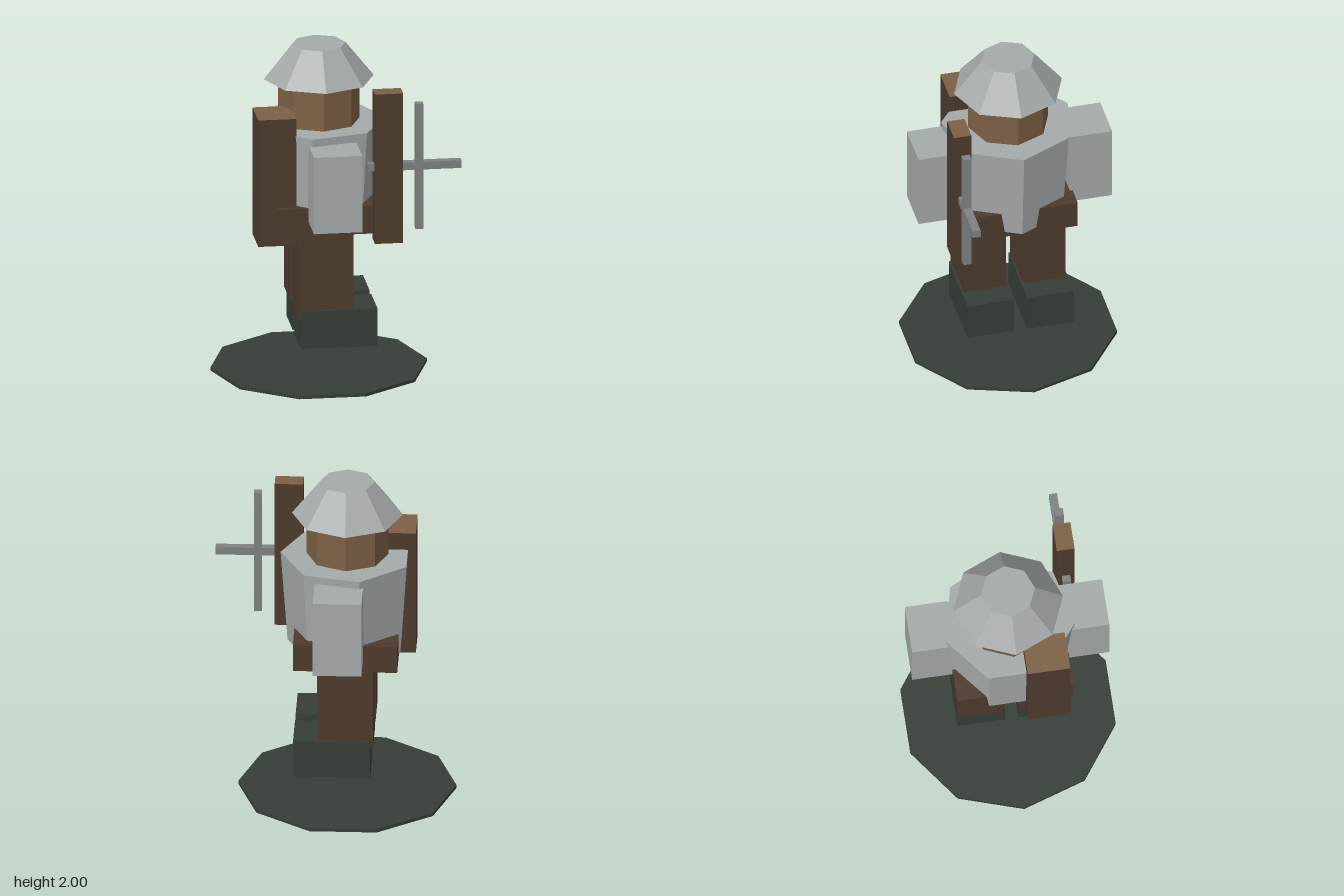
import * as THREE from 'three';

const mat = (name, color) => {
  const m = new THREE.MeshStandardMaterial({ color, flatShading: true });
  m.name = name;
  return m;
};

export function createModel() {
  const steel = mat('steel', 0xa5aaaa);
  const iron = mat('iron', 0x7e8282);
  const skin = mat('skin', 0x7d6045);
  const leather = mat('leather', 0x4e3b2d);
  const moss = mat('moss', 0x363e36);

  const model = new THREE.Group();
  model.name = 'figure';
  const axis = -0.077; // body axis in x

  const add = (name, geometry, material, x, y, z) => {
    const mesh = new THREE.Mesh(geometry, material);
    mesh.name = name;
    mesh.position.set(x, y, z);
    model.add(mesh);
    return mesh;
  };
  // Box given by its limits on each axis
  const box = (name, material, [x0, x1], [y0, y1], [z0, z1]) =>
    add(name, new THREE.BoxGeometry(x1 - x0, y1 - y0, z1 - z0), material,
      (x0 + x1) / 2, (y0 + y1) / 2, (z0 + z1) / 2);
  // Faceted drum with one corner pointing to +x
  const drum = (name, material, rTop, rBottom, y0, y1, sides) =>
    add(name, new THREE.CylinderGeometry(rTop, rBottom, y1 - y0, sides).rotateY(Math.PI / 2),
      material, axis, (y0 + y1) / 2, 0);

  // Base, torso, head and helmet
  drum('base', moss, 0.643, 0.643, 0, 0.02, 10);
  drum('torso', steel, 0.394, 0.353, 0.955, 1.53, 7);
  drum('head', skin, 0.242, 0.242, 1.5, 1.8, 8);
  drum('helmet', steel, 0.16, 0.327, 1.79, 2, 8);

  // Belt
  box('belt', leather, [-0.385, 0.23], [0.92, 1.09], [-0.347, 0.345]);

  // Mirrored pairs on the z axis
  for (const s of [1, -1]) {
    const span = (a, b) => (s > 0 ? [a, b] : [-b, -a]);
    const side = s > 0 ? 'front' : 'back';
    box(side + 'Leg', leather, [-0.24, 0.088], [0.397, 0.92], span(0.053, 0.308));
    box(side + 'Boot', moss, [-0.225, 0.23], [0.215, 0.445], span(0.04, 0.322));
    box(side + 'ShoulderPlate', steel, [-0.185, 0.103], [1.01, 1.482], span(0.33, 0.587));
  }

  // Pack and weapon grip: leather with a tan top face
  const tanTop = [leather, leather, skin, leather, leather, leather];
  box('pack', tanTop, [-0.478, -0.25], [0.855, 1.638], [0.058, 0.311]);
  box('weaponGrip', tanTop, [0.198, 0.366], [0.885, 1.81], [0.332, 0.438]);

  // Crossed iron bars
  box('weaponShaft', iron, [0.16, 0.716], [1.325, 1.372], [0.362, 0.411]);
  box('weaponCrossbar', iron, [0.443, 0.49], [0.958, 1.732], [0.362, 0.411]);

  return model;
}
